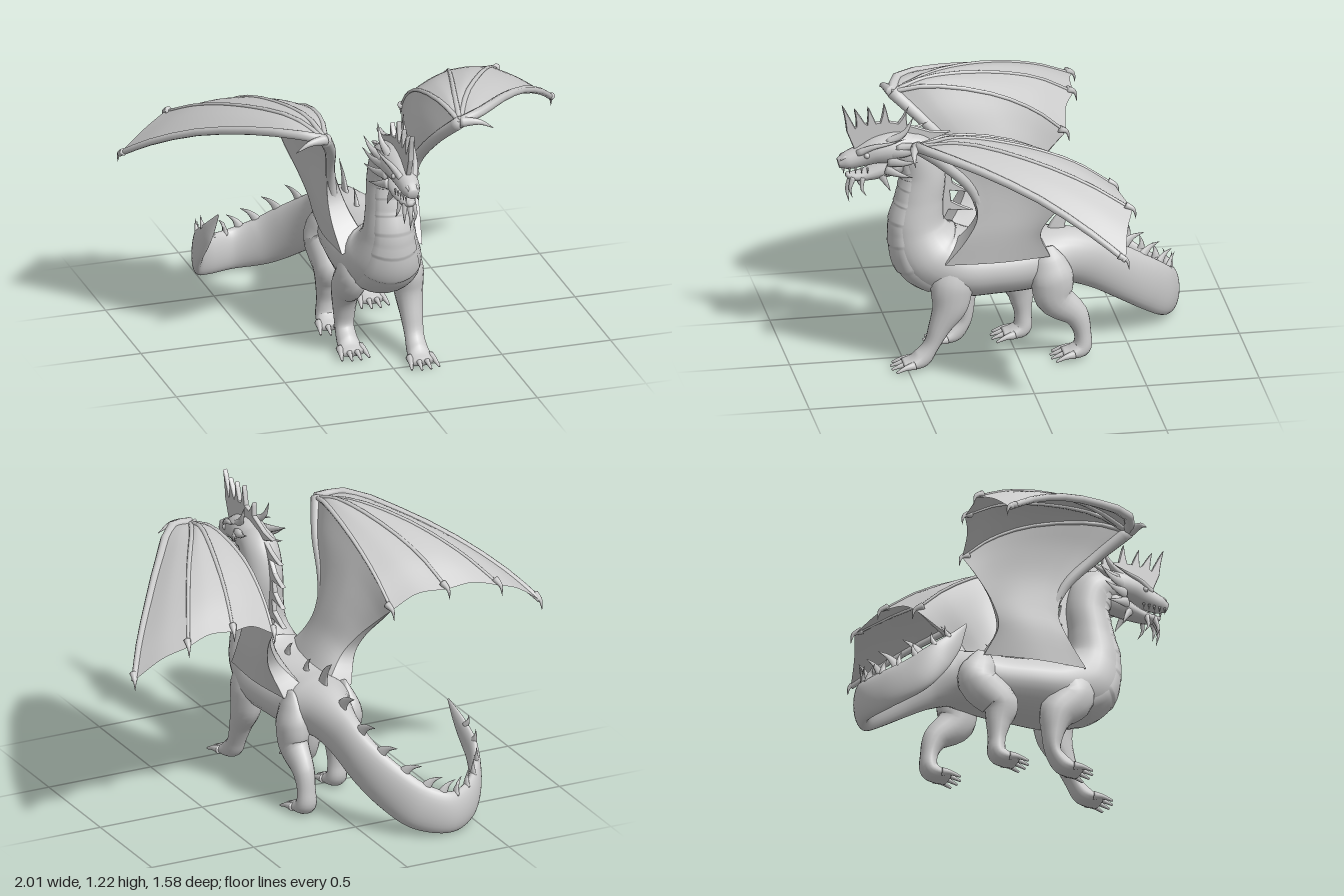
import * as THREE from 'three';

const V = (p) => new THREE.Vector3(p[0], p[1], p[2]);
const grey = new THREE.MeshStandardMaterial({ color: 0xcccccc });
const thin = new THREE.MeshStandardMaterial({ color: 0xcccccc, side: THREE.DoubleSide });
const curve = (pts) => new THREE.CatmullRomCurve3(pts.map(V));

// Samples frames along stations [x, y, z, halfWidth, halfHeight]
function frames(stations, segs) {
  const path = curve(stations);
  const size = curve(stations.map((s) => [s[3], s[4], 0]));
  let prev = V([1, 0, 0]);
  return Array.from({ length: segs + 1 }, (_, i) => {
    const t = i / segs, T = path.getTangent(t);
    const flat = V([-T.z, 0, T.x]);
    const S = flat.length() > 0.4 ? flat : prev.clone().addScaledVector(T, -prev.dot(T));
    S.normalize();
    if (S.dot(prev) < 0) S.negate();
    prev = S;
    const r = size.getPoint(t);
    return { C: path.getPoint(t), T, S, U: S.clone().cross(T), w: Math.max(r.x, 0), h: Math.max(r.y, 0) };
  });
}

function meshFrom(name, pos, idx, material) {
  const g = new THREE.BufferGeometry();
  g.setAttribute('position', new THREE.Float32BufferAttribute(pos, 3));
  g.setIndex(idx);
  g.computeVertexNormals();
  const m = new THREE.Mesh(g, material);
  m.name = name;
  return m;
}

// Closed skin of elliptical rings, rounded off to a point at both ends
function loft(name, stations, segs = 20, n = 14, scale = () => 1) {
  const fr = frames(stations, segs);
  const rings = [{ f: fr[0], k: 0 }, ...fr.map((f) => ({ f, k: 1 })), { f: fr[segs], k: 0 }];
  const pos = [], idx = [];
  rings.forEach(({ f, k }, i) => {
    for (let j = 0; j < n; j++) {
      const a = (j / n) * Math.PI * 2, s = k * scale(i / segs, a);
      const p = f.C.clone().addScaledVector(f.S, f.w * s * Math.cos(a)).addScaledVector(f.U, f.h * s * Math.sin(a));
      pos.push(p.x, p.y, p.z);
      if (i === rings.length - 1) continue;
      const q = (j + 1) % n, A = i * n;
      idx.push(A + j, A + n + j, A + q, A + n + j, A + n + q, A + q);
    }
  });
  return meshFrom(name, pos, idx, grey);
}

// Tapering horn, claw or finger through a few points
const spike = (name, pts, w, h = w, end = 0.03) => loft(name, pts.map((p, i) => {
  const k = 1 - (1 - end) * (i / (pts.length - 1));
  return [...p, w * k, h * k];
}), 10, 8);

// Surface patch filling four boundary curves
function patch(name, c0, c1, d0, d1, n = 20) {
  const pos = [], idx = [];
  const mix = (a, b, t) => a.clone().lerp(b, t);
  for (let i = 0; i <= n; i++) for (let j = 0; j <= n; j++) {
    const u = i / n, v = j / n;
    const p = mix(c0.getPoint(u), c1.getPoint(u), v).add(mix(d0.getPoint(v), d1.getPoint(v), u))
      .sub(mix(mix(c0.getPoint(0), c0.getPoint(1), u), mix(c1.getPoint(0), c1.getPoint(1), u), v));
    pos.push(p.x, p.y, p.z);
    const a = i * (n + 1) + j;
    if (i < n && j < n) idx.push(a, a + n + 1, a + 1, a + n + 1, a + n + 2, a + 1);
  }
  return meshFrom(name, pos, idx, thin);
}

// Spine from the skull down the neck, along the back and round the curled tail
const SPINE = [
  [0, 1.0, 0.52, 0.07, 0.07], [0, 0.965, 0.44, 0.085, 0.095], [0, 0.87, 0.41, 0.09, 0.1],
  [0, 0.75, 0.425, 0.1, 0.107], [0, 0.62, 0.435, 0.12, 0.13], [0, 0.5, 0.38, 0.165, 0.165],
  [0, 0.44, 0.25, 0.19, 0.15], [0, 0.43, 0.1, 0.18, 0.14], [0, 0.43, -0.03, 0.165, 0.135],
  [0, 0.44, -0.14, 0.155, 0.13], [0, 0.435, -0.24, 0.11, 0.125], [-0.01, 0.385, -0.37, 0.07, 0.118],
  [-0.04, 0.305, -0.5, 0.057, 0.113], [-0.11, 0.215, -0.62, 0.05, 0.112], [-0.21, 0.135, -0.71, 0.044, 0.108],
  [-0.34, 0.1, -0.75, 0.038, 0.096], [-0.46, 0.115, -0.69, 0.034, 0.092], [-0.54, 0.165, -0.59, 0.03, 0.085],
  [-0.57, 0.25, -0.5, 0.024, 0.066], [-0.56, 0.34, -0.42, 0.016, 0.042], [-0.53, 0.45, -0.35, 0.003, 0.005]];

function buildLeg(side, front, shift, name) {
  const g = new THREE.Group();
  g.name = name;
  const x = side * 0.13, z = (front ? 0.425 : -0.285) + shift;
  // Stations from the body down to the ankle, then forward along the foot
  const L = front
    ? [[0.52, 0.28, 0.015, 0.03], [0.46, 0.285, 0.05, 0.075], [0.38, 0.3, 0.068, 0.095], [0.29, 0.31 + shift * 0.45, 0.064, 0.082],
      [0.19, 0.355 + shift * 0.8, 0.052, 0.05], [0.1, 0.395 + shift, 0.044, 0.035]]
    : [[0.53, -0.12, 0.01, 0.03], [0.47, -0.13, 0.042, 0.07], [0.38, -0.145, 0.07, 0.095], [0.29, -0.155 + shift * 0.5, 0.064, 0.085],
      [0.2, -0.25 + shift * 0.9, 0.048, 0.056], [0.11, -0.28 + shift, 0.042, 0.038]];
  L.push([0.047, z + 0.01, 0.048, 0.042], [0.026, z + 0.055, 0.054, 0.028], [0.02, z + 0.095, 0.054, 0.018]);
  g.add(loft('limb', L.map(([y, sz, w, h]) => [x, y, sz, w, h]), 40, 16));
  for (const k of [-1.5, -0.5, 0.5, 1.5]) {
    const len = 0.155 - Math.abs(k) * 0.015, tx = x + k * 0.03;
    g.add(spike('toe', [[tx, 0.028, z + 0.05], [tx + k * 0.006, 0.024, z + len * 0.65], [tx + k * 0.012, 0.007, z + len]], 0.02, 0.02, 0.25));
  }
  return g;
}

function buildWing(s, name) {
  const g = new THREE.Group();
  g.name = name;
  const at = (pts) => pts.map(([x, y, z, ...size]) => [s * x, y, z, ...size]);
  const line = (...pts) => curve(at(pts));
  const W = [0.31, 1.13, 0.49], tip = [0.995, 0.82, -0.32];
  const claws = [tip, [0.765, 0.96, -0.39], [0.525, 0.975, -0.355], [0.29, 0.89, -0.28]];
  // Fingers from the wrist, leading edge first, and the slack between their ends
  const fingers = [
    [W, [0.42, 1.15, 0.45], [0.58, 1.11, 0.25], [0.75, 1.03, 0.02], [0.9, 0.92, -0.18], claws[0]],
    [W, [0.4, 1.17, 0.3], [0.54, 1.14, 0.05], [0.67, 1.06, -0.2], claws[1]],
    [W, [0.34, 1.175, 0.33], [0.41, 1.15, 0.06], [0.475, 1.08, -0.18], claws[2]],
    [W, [0.28, 1.16, 0.34], [0.265, 1.11, 0.06], [0.275, 1.01, -0.14], claws[3]]];
  const slack = [[0.87, 0.91, -0.35], [0.645, 0.985, -0.36], [0.405, 0.955, -0.3]];
  const wrist = line(W, W);
  slack.forEach((m, i) => g.add(patch('membrane', line(...fingers[i]), line(...fingers[i + 1]), wrist, line(claws[i], m, claws[i + 1]))));
  fingers.forEach((f, i) => g.add(spike('finger', at(f), i ? 0.013 : 0.024, i ? 0.011 : 0.024, 0.55)));

  // Wing root: outer and inner skins that part towards the body, closed in front and behind
  const frontOut = [W, [0.25, 1.01, 0.37], [0.215, 0.87, 0.24], [0.207, 0.73, 0.2], [0.203, 0.62, 0.25], [0.185, 0.5, 0.34]];
  const frontIn = [W, [0.24, 1.01, 0.37], [0.19, 0.87, 0.23], [0.145, 0.74, 0.19], [0.11, 0.64, 0.23], [0.06, 0.54, 0.31]];
  const rearOut = [claws[3], [0.275, 0.82, -0.21], [0.24, 0.72, -0.12], [0.21, 0.63, -0.08], [0.165, 0.5, -0.13]];
  const rearIn = [claws[3], [0.265, 0.82, -0.2], [0.21, 0.72, -0.11], [0.15, 0.63, -0.07], [0.06, 0.53, -0.12]];
  const end = (c) => c[c.length - 1];
  const skin = (part, front, rear, mid) => g.add(patch(part, line(...fingers[3]), line(end(front), mid, end(rear)), line(...front), line(...rear)));
  const seam = (part, a, b) => g.add(patch(part, line(...a), line(...b), line(a[0], a[0]), line(end(a), end(b))));
  skin('outerRoot', frontOut, rearOut, [0.195, 0.5, 0.1]);
  skin('innerRoot', frontIn, rearIn, [0.06, 0.56, 0.1]);
  seam('frontRoot', frontOut, frontIn);
  seam('rearRoot', rearOut, rearIn);
  g.add(loft('arm', at([[...W, 0.028, 0.028], [0.245, 1.01, 0.36, 0.025, 0.025], [0.203, 0.87, 0.23, 0.021, 0.024],
    [0.178, 0.74, 0.18, 0.022, 0.022], [0.16, 0.66, 0.19, 0.01, 0.01]]), 24, 12));

  // Claws at the wrist and finger ends
  g.add(spike('thumbClaw', at([W, [0.39, 1.13, 0.515], [0.455, 1.095, 0.52]]), 0.026));
  claws.forEach(([x, y, z]) =>
    g.add(spike('fingerClaw', at([[x - 0.01, y + 0.02, z + 0.03], [x, y, z - 0.005], [x + 0.003, y - 0.045, z - 0.015]]), 0.017)));
  return g;
}

function buildHead() {
  const g = new THREE.Group();
  g.name = 'head';
  g.add(loft('skull', [[0, 0.99, 0.44, 0.06, 0.07], [0, 1.005, 0.53, 0.078, 0.075], [0, 1.0, 0.61, 0.07, 0.064],
    [0, 0.975, 0.68, 0.052, 0.05], [0, 0.955, 0.745, 0.042, 0.04], [0, 0.945, 0.785, 0.022, 0.022]], 28, 18));
  g.add(loft('lowerJaw', [[0, 0.94, 0.48, 0.055, 0.055], [0, 0.912, 0.57, 0.056, 0.044], [0, 0.885, 0.66, 0.042, 0.028],
    [0, 0.88, 0.72, 0.03, 0.02], [0, 0.89, 0.75, 0.012, 0.01]], 20));
  for (const s of [-1, 1]) {
    const add = (name, w, pts, h) => g.add(spike(name, pts.map(([x, y, z]) => [s * x, y, z]), w, h));
    add('browRidge', 0.018, [[0.028, 0.995, 0.7], [0.054, 1.03, 0.64], [0.075, 1.05, 0.57], [0.09, 1.075, 0.5]]);
    add('horn', 0.024, [[0.035, 1.04, 0.57], [0.055, 1.09, 0.5], [0.06, 1.165, 0.46]]);
    add('backHorn', 0.024, [[0.055, 1.02, 0.53], [0.085, 1.04, 0.45], [0.095, 1.07, 0.37]]);
    // Cheek frill
    add('cheekSpike', 0.014, [[0.06, 1.0, 0.56], [0.095, 1.01, 0.49], [0.122, 1.045, 0.43]], 0.028);
    add('cheekSpike', 0.014, [[0.055, 0.96, 0.57], [0.09, 0.96, 0.51], [0.12, 0.975, 0.45]], 0.028);
    add('cheekSpike', 0.014, [[0.05, 0.92, 0.58], [0.08, 0.905, 0.53], [0.105, 0.895, 0.47]], 0.026);
    add('jawSpike', 0.014, [[0.035, 0.89, 0.6], [0.045, 0.855, 0.58], [0.05, 0.815, 0.56]], 0.022);
    add('beard', 0.014, [[0.018, 0.88, 0.72], [0.026, 0.83, 0.735], [0.022, 0.785, 0.725]]);
    add('beard', 0.013, [[0.028, 0.88, 0.68], [0.04, 0.83, 0.685], [0.045, 0.795, 0.665]]);
    add('nostril', 0.013, [[0.018, 0.978, 0.735], [0.022, 0.975, 0.765], [0.018, 0.955, 0.785]]);
    for (let i = 0; i < 5; i++) {
      const z = 0.765 - i * 0.026, x = 0.028 + i * 0.004;
      add('tooth', 0.006, [[x, 0.93, z], [x, 0.917, z], [x, 0.9, z]]);
    }
    const eye = new THREE.Mesh(new THREE.SphereGeometry(0.013, 14, 10), grey);
    eye.name = 'eye';
    eye.position.set(s * 0.052, 0.992, 0.665);
    g.add(eye);
  }
  g.add(spike('beard', [[0, 0.88, 0.725], [0, 0.82, 0.745], [0, 0.755, 0.735]], 0.016));
  return g;
}

// Webbed crest over the skull and down the nape; spikes as [base z, y, tip z, y]
function buildCrest() {
  const rows = [[0.728, 1.1, 0.766, 1.215], [0.685, 1.12, 0.712, 1.195], [0.637, 1.12, 0.652, 1.2], [0.578, 1.125, 0.58, 1.21],
    [0.5, 1.11, 0.485, 1.165], [0.38, 1.05, 0.29, 1.06], [0.32, 0.98, 0.22, 0.97], [0.285, 0.89, 0.2, 0.87],
    [0.285, 0.8, 0.2, 0.77], [0.29, 0.71, 0.19, 0.68]];
  const sh = new THREE.Shape();
  sh.moveTo(0.7, 0.98);
  for (const [bz, by, tz, ty] of rows) {
    const len = Math.hypot(tz - bz, ty - by), pz = -(ty - by) / len, py = (tz - bz) / len;
    const mz = (bz + tz) / 2, my = (by + ty) / 2;
    sh.lineTo(bz - pz * 0.018, by - py * 0.018);
    sh.quadraticCurveTo(mz - pz * 0.003, my - py * 0.003, tz, ty);
    sh.quadraticCurveTo(mz + pz * 0.01, my + py * 0.01, bz + pz * 0.018, by + py * 0.018);
  }
  for (const p of [[0.33, 0.62], [0.4, 0.7], [0.4, 0.9], [0.46, 0.99]]) sh.lineTo(...p);
  const geo = new THREE.ExtrudeGeometry(sh, { depth: 0.012, bevelSize: 0.003, bevelThickness: 0.005, bevelSegments: 1, curveSegments: 6 });
  geo.translate(0, 0, -0.006).rotateY(-Math.PI / 2);
  const m = new THREE.Mesh(geo, grey);
  m.name = 'crest';
  return m;
}

export function createModel() {
  const model = new THREE.Group();
  model.name = 'dragon';
  model.add(loft('body', SPINE, 150, 28));
  // Overlapping plates down the throat and chest
  model.add(loft('throatPlates', SPINE.slice(1, 7), 120, 28,
    (t, a) => (Math.sin(a) < -0.6 ? 1.0 + 0.035 * ((t * 9) % 1) : 0.9)));
  model.add(buildHead(), buildCrest());

  // Hooked spines along the back and tail: [position along the spine, height]
  const fr = frames(SPINE, 200);
  [[66, 0.07], [80, 0.07], [95, 0.125], [106, 0.1], [115, 0.09], [123, 0.08], [131, 0.075], [139, 0.07], [146, 0.065],
    [153, 0.06], [160, 0.055], [167, 0.05], [175, 0.05], [183, 0.045], [190, 0.04]].forEach(([i, h]) => {
    const f = fr[i];
    const p = (up, along) => f.C.clone().addScaledVector(f.U, f.h + up * h).addScaledVector(f.T, along * h).toArray();
    model.add(spike('backSpine', [p(-0.3, -0.1), p(0.15, 0), p(0.55, 0.2), p(0.95, 0.6)], 0.014, h * 0.4));
  });

  model.add(buildLeg(1, true, 0, 'leftFrontLeg'), buildLeg(-1, true, -0.19, 'rightFrontLeg'));
  model.add(buildLeg(1, false, 0, 'leftHindLeg'), buildLeg(-1, false, 0.22, 'rightHindLeg'));
  model.add(buildWing(1, 'leftWing'), buildWing(-1, 'rightWing'));
  return model;
}
